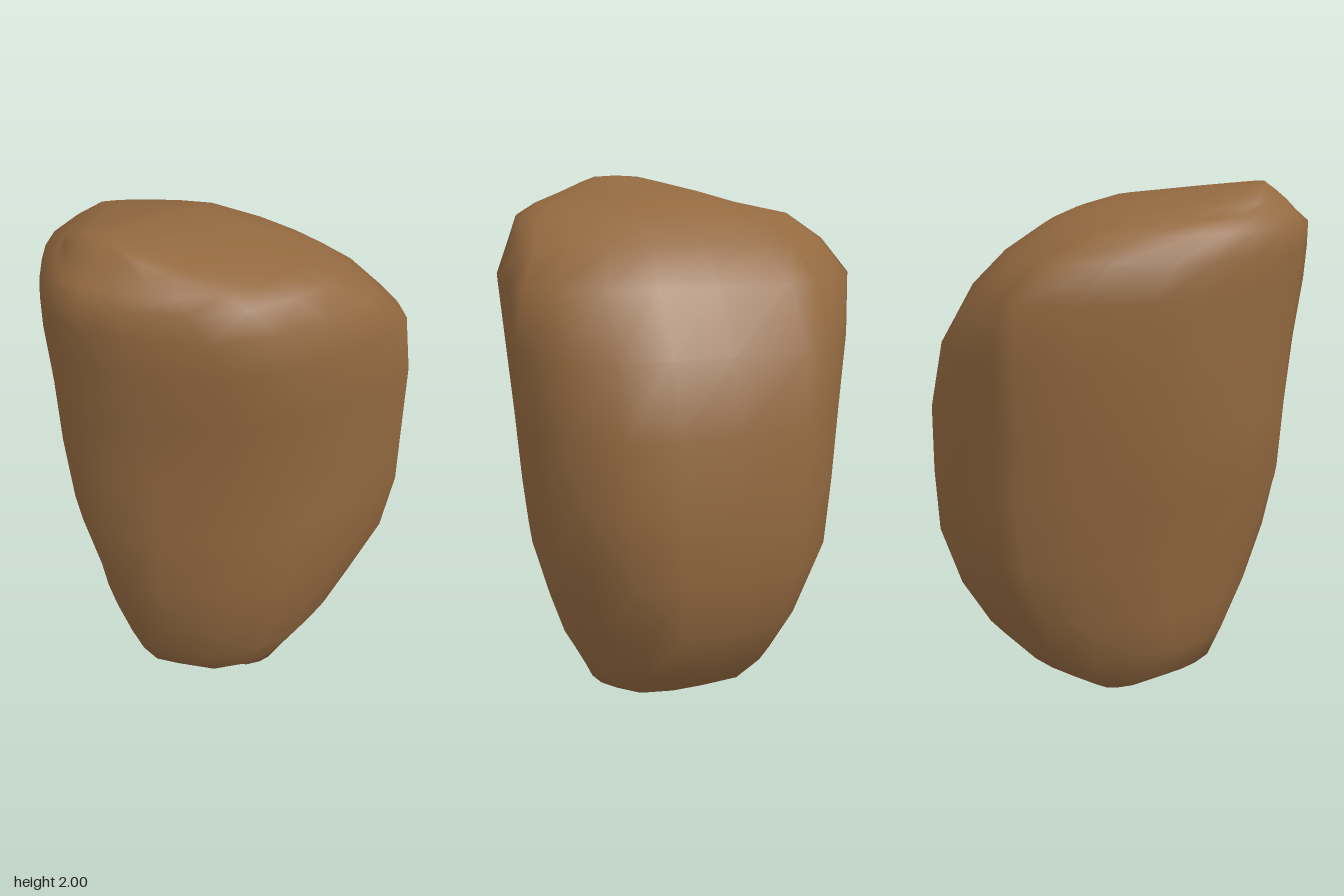
import * as THREE from 'three';

// Rounded-wedge outline seen from above: blunt back (-z), pointed front (+z)
const OUTLINE = [
  [-0.28, -0.67], [0, -0.69], [0.22, -0.68], [0.4, -0.64], [0.54, -0.49], [0.63, -0.35],
  [0.66, -0.2], [0.64, 0], [0.58, 0.22], [0.45, 0.43], [0.22, 0.59], [0.07, 0.68],
  [-0.09, 0.67], [-0.24, 0.59], [-0.36, 0.49], [-0.47, 0.37], [-0.56, 0.23], [-0.63, 0],
  [-0.66, -0.2], [-0.62, -0.3], [-0.52, -0.45], [-0.41, -0.57],
].map(([x, z]) => [x / 0.66, z > -0.2 ? (z + 0.2) / 0.88 : (z + 0.2) / 0.49]);

// Horizontal sections: y, left x, right x, back z, front z, z of the widest point,
// then the swelling (+) or dent (-) of the back corners, front right and front left
const SECTIONS = [
  [0.01, -0.12, 0.16, -0.1, 0.08, 0, 0, 0, 0],
  [0.04, -0.25, 0.32, -0.23, 0.2, 0, 0, 0, 0],
  [0.12, -0.34, 0.36, -0.38, 0.38, -0.05, 0.02, 0.02, 0],
  [0.25, -0.41, 0.43, -0.51, 0.43, -0.12, 0.02, 0.06, 0.02],
  [0.43, -0.48, 0.49, -0.61, 0.49, -0.18, 0.03, 0.08, 0.03],
  [0.67, -0.55, 0.57, -0.67, 0.56, -0.25, 0.05, 0.05, -0.03],
  [0.92, -0.58, 0.62, -0.68, 0.62, -0.25, 0.04, -0.03, 0.01],
  [1.18, -0.615, 0.635, -0.67, 0.635, -0.22, 0.04, -0.03, 0.02],
  [1.43, -0.645, 0.65, -0.62, 0.65, -0.23, 0.02, 0, 0.01],
  [1.65, -0.66, 0.655, -0.49, 0.67, -0.22, 0, 0.04, 0.01],
  [1.77, -0.61, 0.59, -0.38, 0.68, -0.1, -0.03, 0.03, 0],
  [1.86, -0.53, 0.54, -0.25, 0.685, 0.04, -0.03, 0, -0.03],
  [1.9, -0.36, 0.45, -0.16, 0.64, 0.15, 0, 0, 0],
  [1.94, -0.26, 0.29, -0.03, 0.6, 0.33, 0, 0.04, 0.04],
  [1.975, -0.15, 0.18, 0.27, 0.56, 0.45, 0, 0.04, 0.04],
  [1.995, -0.08, 0.11, 0.46, 0.53, 0.51, 0, 0, 0],
];

function stoneGeometry() {
  const n = OUTLINE.length, last = SECTIONS.length - 1;
  const pos = [], idx = [];
  for (const [y, xl, xr, zb, zf, zc, back, frontRight, frontLeft] of SECTIONS) {
    for (const [u, v] of OUTLINE) {
      // Swelling is strongest halfway along each diagonal
      const swell = v < 0 ? back : u > 0 ? frontRight : frontLeft;
      const k = 1 + 2 * Math.abs(u * v) * swell;
      const x = u < 0 ? -u * xl : u * xr;
      const z = v < 0 ? -v * (zb - zc) : v * (zf - zc);
      pos.push(k * x, y, zc + k * z);
    }
  }
  // Skin between neighbouring sections
  for (let j = 0; j < last; j++) {
    for (let i = 0; i < n; i++) {
      const a = j * n + i, b = j * n + (i + 1) % n;
      idx.push(a, a + n, b, b, a + n, b + n);
    }
  }
  // Closing fans at the bottom and the peak
  const bottom = pos.length / 3;
  pos.push(0.03, 0, 0, 0.02, 2, 0.5);
  for (let i = 0; i < n; i++) {
    const k = (i + 1) % n;
    idx.push(bottom, i, k, bottom + 1, last * n + k, last * n + i);
  }
  const g = new THREE.BufferGeometry();
  g.setAttribute('position', new THREE.Float32BufferAttribute(pos, 3));
  g.setIndex(idx);
  g.computeVertexNormals();
  return g;
}

export function createModel() {
  const group = new THREE.Group();
  group.name = 'rock';
  const stone = new THREE.Mesh(stoneGeometry(), new THREE.MeshStandardMaterial({ color: 0x936940 }));
  stone.name = 'stone';
  group.add(stone);
  return group;
}
